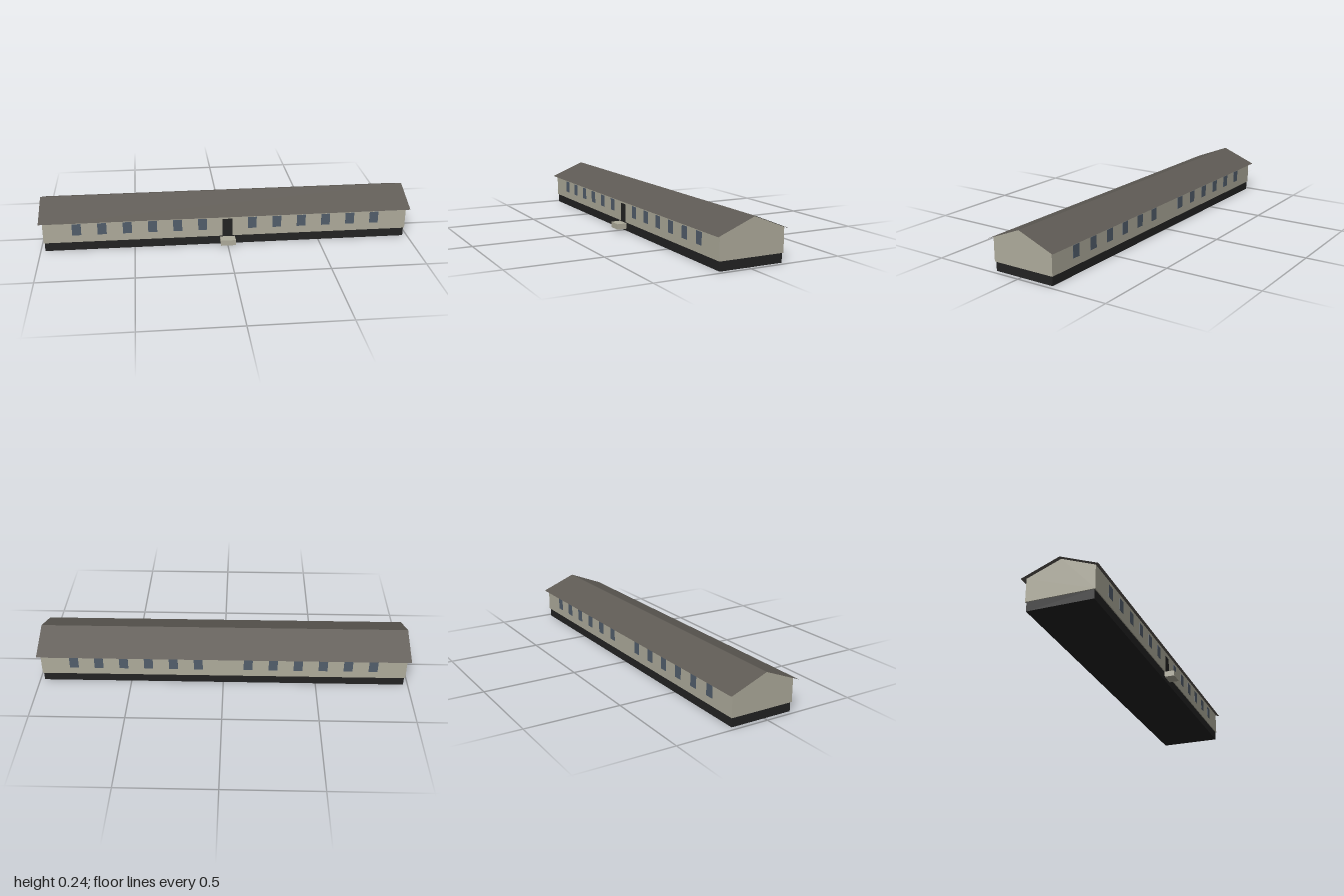
import * as THREE from 'three';

export function createModel() {
  const model = new THREE.Group();
  model.name = 'longHouse';

  const material = (name, color, side = THREE.FrontSide) => {
    const m = new THREE.MeshStandardMaterial({ color, side });
    m.name = name;
    return m;
  };
  const wallPaint = material('wallPaint', 0xafac9c);
  const roofing = material('roofing', 0x5f5b55, THREE.DoubleSide);
  const darkBase = material('darkBase', 0x232323);
  const glass = material('glass', 0x525e6c);

  const midZ = -0.017; // ridge line and centre of the house
  const wallHalf = 0.175;
  const frontZ = midZ + wallHalf;
  const backZ = midZ - wallHalf;
  const eaveY = 0.171, ridgeY = 0.241, floorY = 0.048;

  const add = (name, geometry, mat, x = 0, y = 0, z = 0) => {
    const mesh = new THREE.Mesh(geometry, mat);
    mesh.name = name;
    mesh.position.set(x, y, z);
    model.add(mesh);
    return mesh;
  };

  // Foundation
  add('foundation', new THREE.BoxGeometry(1.952, floorY, 0.34), darkBase, 0, floorY / 2, midZ);

  // Walls: gabled section extruded along x
  const gable = new THREE.Shape([
    new THREE.Vector2(-wallHalf, floorY),
    new THREE.Vector2(wallHalf, floorY),
    new THREE.Vector2(wallHalf, eaveY),
    new THREE.Vector2(0, ridgeY),
    new THREE.Vector2(-wallHalf, eaveY),
  ]);
  const wallLength = 1.962;
  const wallGeometry = new THREE.ExtrudeGeometry(gable, { depth: wallLength, bevelEnabled: false });
  wallGeometry.translate(0, 0, -wallLength / 2).rotateY(Math.PI / 2);
  add('walls', wallGeometry, wallPaint, 0, 0, midZ);

  // Roof: two thin sheets overhanging the walls
  const run = 0.195;
  const drop = run * (ridgeY - eaveY) / wallHalf;
  for (const side of [1, -1]) {
    const sheet = new THREE.PlaneGeometry(2, Math.hypot(run, drop));
    sheet.rotateX(-Math.PI / 2 + Math.atan2(drop, run));
    if (side < 0) sheet.rotateY(Math.PI);
    add(side > 0 ? 'frontRoof' : 'backRoof', sheet, roofing,
      0, ridgeY + 0.0015 - drop / 2, midZ + side * run / 2);
  }

  // Windows: six each side of the middle, front and back
  const pane = new THREE.BoxGeometry(0.048, 0.064, 0.003);
  for (const [face, z] of [['front', frontZ], ['back', backZ]]) {
    for (let i = -6; i <= 6; i++) {
      if (i !== 0) add(face + 'Window', pane, glass, i * 0.134, 0.12, z);
    }
  }

  // Door and its step
  add('door', new THREE.BoxGeometry(0.054, 0.099, 0.003), darkBase, 0, floorY + 0.0495, frontZ);
  add('doorStep', new THREE.BoxGeometry(0.08, 0.03, 0.054), wallPaint, 0, 0.029, 0.185);

  return model;
}
